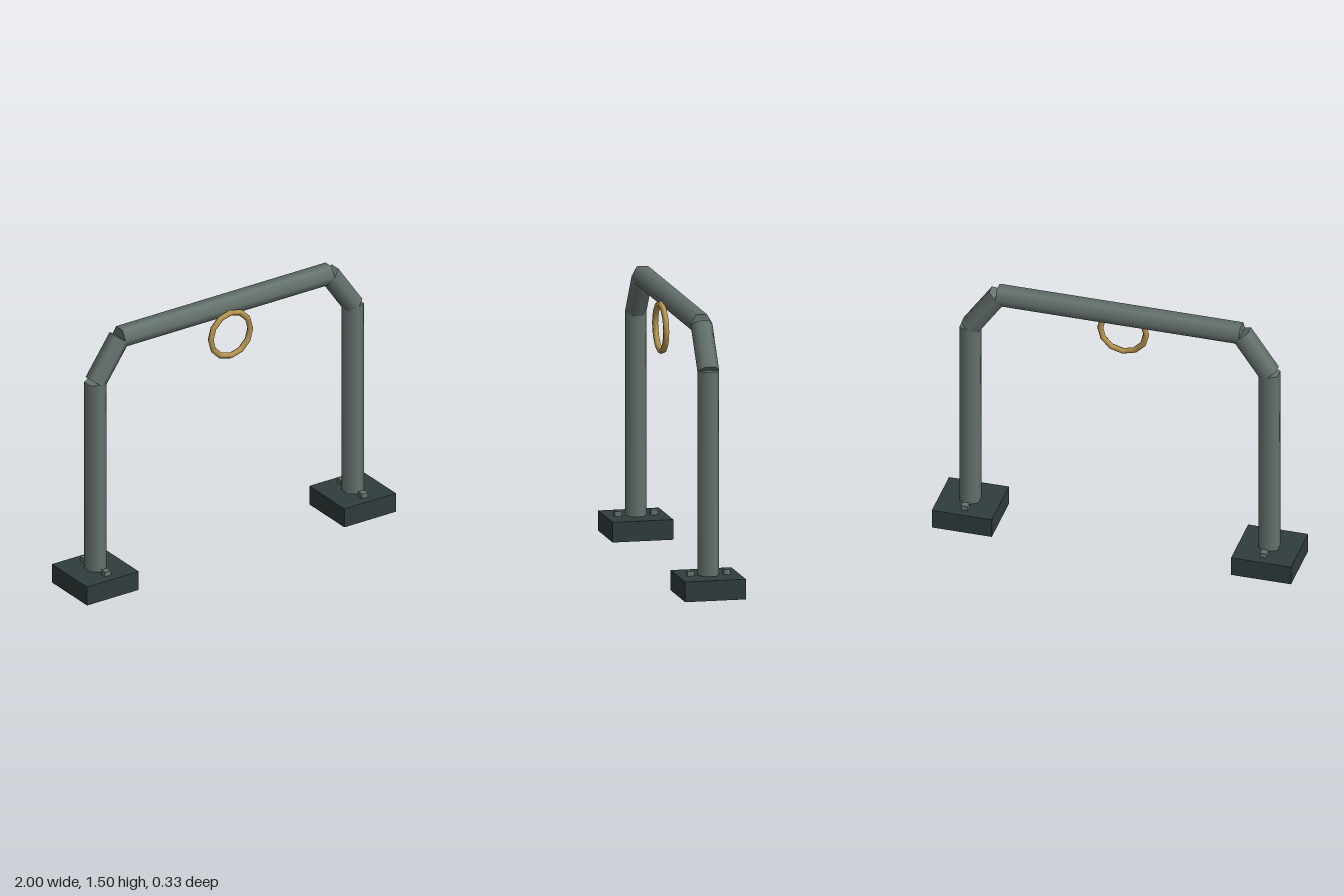
import * as THREE from 'three';

const steel = new THREE.MeshStandardMaterial({ color: 0x66736f });
const darkIron = new THREE.MeshStandardMaterial({ color: 0x303c3c });
const brass = new THREE.MeshStandardMaterial({ color: 0xb8964f });

function add(parent, name, geometry, material, x, y, z) {
  const mesh = new THREE.Mesh(geometry, material);
  mesh.name = name;
  mesh.position.set(x, y, z);
  parent.add(mesh);
  return mesh;
}

// Hexagonal pipe running between two points in the front plane
function pipe(parent, name, x1, y1, x2, y2) {
  const dx = x2 - x1, dy = y2 - y1;
  const geometry = new THREE.CylinderGeometry(0.06, 0.06, Math.hypot(dx, dy), 6);
  const mesh = add(parent, name, geometry, steel, (x1 + x2) / 2, (y1 + y2) / 2, 0);
  mesh.rotation.z = Math.atan2(-dx, dy);
}

export function createModel() {
  const model = new THREE.Group();
  model.name = 'archFrame';

  // Each side: foot block, two bolts, upright post and slanted brace
  for (const [side, s] of [['left', 1], ['right', -1]]) {
    const support = new THREE.Group();
    support.name = side + 'Support';
    model.add(support);
    add(support, 'footBlock', new THREE.BoxGeometry(0.334, 0.11, 0.334), darkIron, s * 0.833, 0.055, 0);
    for (const z of [-0.1, 0.1]) {
      add(support, 'bolt', new THREE.BoxGeometry(0.038, 0.04, 0.038), steel, s * 0.833, 0.117, z);
    }
    pipe(support, 'post', s * 0.833, 0.1, s * 0.833, 1.225);
    pipe(support, 'cornerBrace', s * 0.833, 1.222, s * 0.678, 1.446);
  }

  // Top bar with the ring on its front
  pipe(model, 'topBar', 0.678, 1.448, -0.678, 1.448);
  add(model, 'ring', new THREE.TorusGeometry(0.128, 0.017, 6, 12), brass, 0, 1.3, 0.062);

  return model;
}
